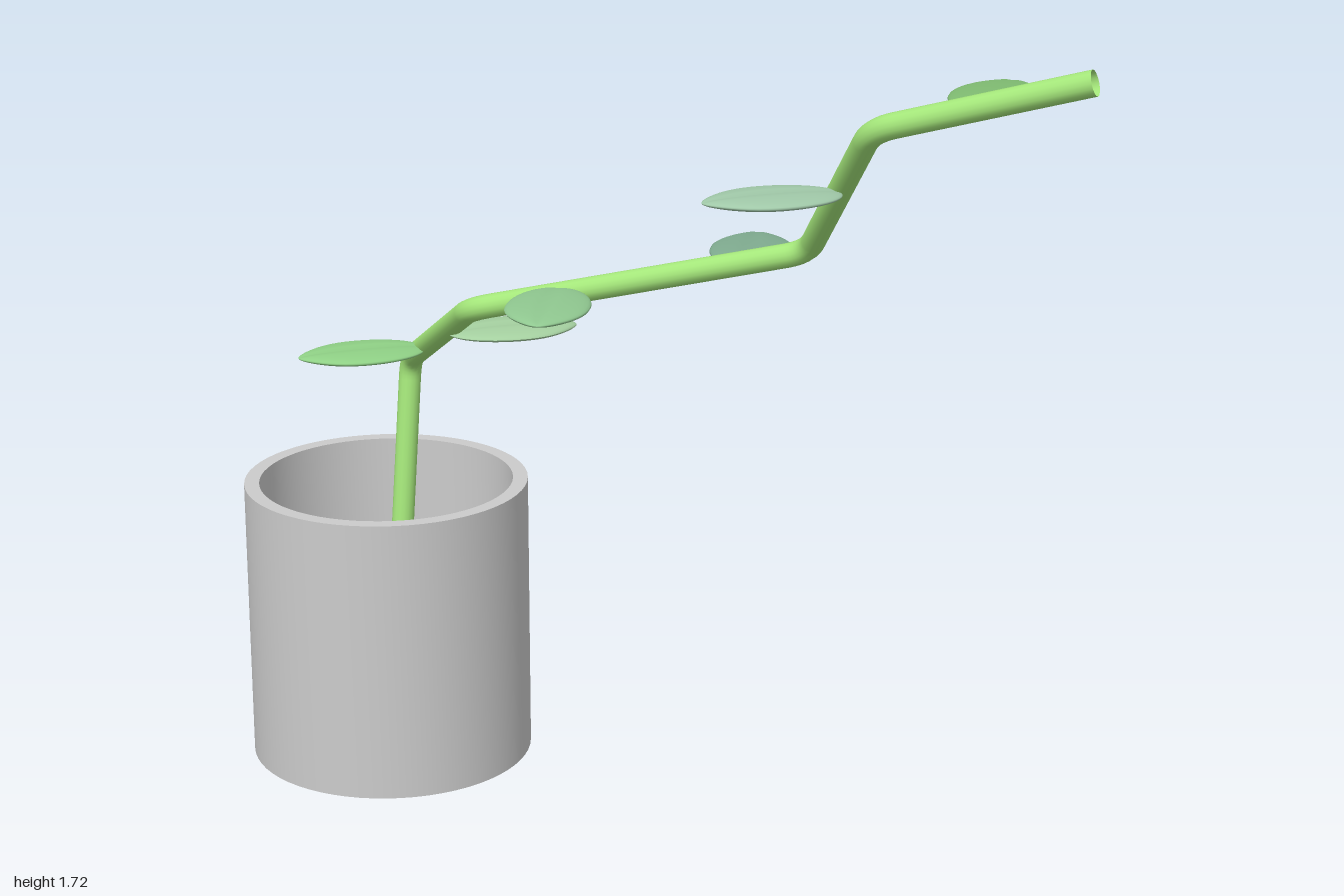
import * as THREE from 'three';
import { toCreasedNormals } from 'three/addons/utils/BufferGeometryUtils.js';

const POT = { x: -0.695, z: -0.016, radius: 0.305, inner: 0.273, height: 0.615, floor: 0.03 };

// Zigzag path: straight runs joined by short rounded elbows
function zigzag(points, fillet) {
  const path = new THREE.CurvePath();
  let start = points[0];
  for (let i = 1; i < points.length - 1; i++) {
    const corner = points[i];
    const toward = (p) => corner.clone().add(p.clone().sub(corner).setLength(fillet));
    const a = toward(points[i - 1]);
    const b = toward(points[i + 1]);
    path.add(new THREE.LineCurve3(start, a));
    path.add(new THREE.QuadraticBezierCurve3(a, corner, b));
    start = b;
  }
  path.add(new THREE.LineCurve3(start, points[points.length - 1]));
  return path;
}

// Thin lens-shaped blade along +z: round base, pointed tip, grooved midrib
function leafGeometry() {
  const geo = new THREE.SphereGeometry(1, 32, 24).rotateX(Math.PI / 2);
  const pos = geo.attributes.position;
  for (let i = 0; i < pos.count; i++) {
    const x = pos.getX(i), y = pos.getY(i), z = pos.getZ(i);
    const taper = 1 - 0.4 * Math.max(z, 0) ** 3;
    const groove = 0.7 + 0.3 * Math.min(1, Math.abs(x) / 0.18);
    pos.setXYZ(i, x * 0.083 * taper, y * 0.0135 * groove, z * 0.136);
  }
  geo.computeVertexNormals();
  return geo;
}

export function createModel() {
  const model = new THREE.Group();
  model.name = 'pottedVine';
  const add = (name, geometry, color, side = THREE.FrontSide) => {
    const mesh = new THREE.Mesh(geometry, new THREE.MeshStandardMaterial({ color, side }));
    mesh.name = name;
    model.add(mesh);
    return mesh;
  };

  // Hollow cylindrical pot with a floor
  const profile = [
    [0, 0], [POT.radius, 0], [POT.radius, POT.height],
    [POT.inner, POT.height], [POT.inner, POT.floor], [0, POT.floor],
  ].map(([r, y]) => new THREE.Vector2(r, y));
  const pot = add('pot', toCreasedNormals(new THREE.LatheGeometry(profile, 64), 0.6), 0xcccccc);
  pot.position.set(POT.x, 0, POT.z);

  // Stem rising from the pot floor, open at its tip
  const joints = [
    [POT.x, POT.floor, POT.z], [-0.73, 0.85, -0.143], [-0.293, 1.105, 0.163],
    [0.307, 1.255, -0.142], [0.595, 1.575, 0.085], [0.985, 1.693, -0.022],
  ].map((p) => new THREE.Vector3(...p));
  add('stem', new THREE.TubeGeometry(zigzag(joints, 0.045), 240, 0.024, 16), 0xa4e67a, THREE.DoubleSide);

  // Level leaves: centre x, y, z, direction of the tip (x, z), colour
  const leaves = [
    [-0.69, 0.915, 0.055, -0.57, 0.82, 0x8fd085],
    [-0.347, 1.01, -0.03, 0.6, -0.8, 0xa5d0a0],
    [-0.062, 1.158, 0.203, 0.5, 0.86, 0x90c890],
    [0.125, 1.216, -0.21, -0.5, -0.86, 0x80ac90],
    [0.4, 1.426, 0.115, -0.57, 0.82, 0xa0c8a8],
    [0.737, 1.625, -0.105, -0.3, -0.95, 0x80bc72],
  ];
  const blade = leafGeometry();
  leaves.forEach(([x, y, z, dx, dz, color], i) => {
    const leaf = add(`leaf${i + 1}`, blade, color);
    leaf.position.set(x, y, z);
    leaf.rotation.y = Math.atan2(dx, dz);
  });

  return model;
}
